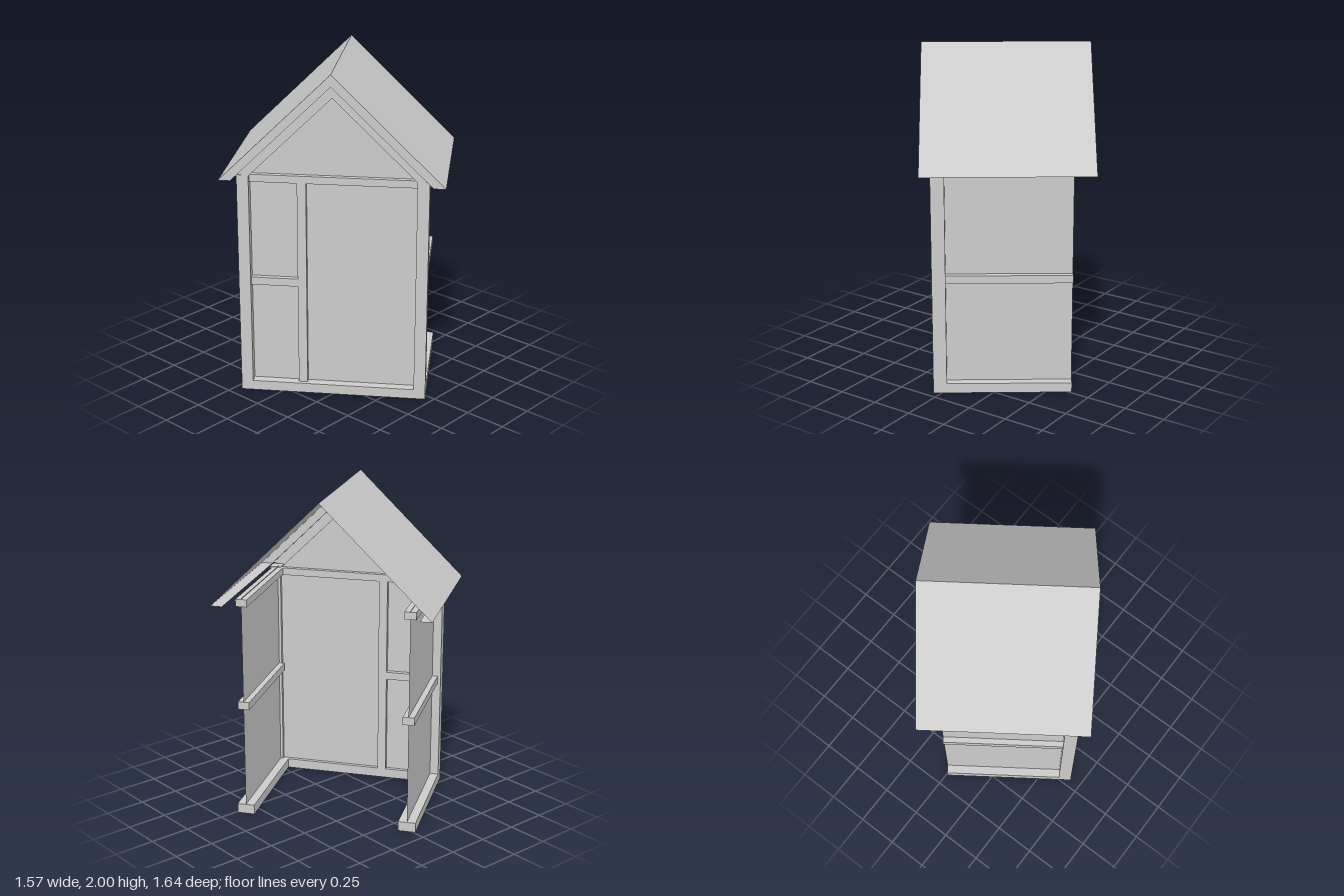
import * as THREE from 'three';

const mat = new THREE.MeshStandardMaterial({ color: 0xcccccc, flatShading: true, side: THREE.DoubleSide });

// Open sheet: a polyline in x/y swept from z0 to z1
function ribbon(points, z0, z1) {
  const pos = [];
  for (let i = 0; i < points.length - 1; i++) {
    const [ax, ay] = points[i], [bx, by] = points[i + 1];
    pos.push(ax, ay, z0, ax, ay, z1, bx, by, z1, ax, ay, z0, bx, by, z1, bx, by, z0);
  }
  const g = new THREE.BufferGeometry();
  g.setAttribute('position', new THREE.Float32BufferAttribute(pos, 3));
  g.computeVertexNormals();
  return g;
}

// Flat outline facing +z
function sheet(points, z) {
  const shape = new THREE.Shape(points.map(([x, y]) => new THREE.Vector2(x, y)));
  return new THREE.ShapeGeometry(shape).translate(0, 0, z);
}

// Box given by its limits on each axis
function block(x0, x1, y0, y1, z0, z1) {
  return new THREE.BoxGeometry(x1 - x0, y1 - y0, z1 - z0)
    .translate((x0 + x1) / 2, (y0 + y1) / 2, (z0 + z1) / 2);
}

export function createModel() {
  const hut = new THREE.Group();
  hut.name = 'gabledHut';
  const add = (name, geometry) => {
    const mesh = new THREE.Mesh(geometry, mat);
    mesh.name = name;
    hut.add(mesh);
  };

  // Roof: thin shell with turned-in eaves and a thick front edge
  const eave = 0.653, inner = 0.582, eaveY = 1.36;
  add('roof', ribbon([[-inner, eaveY], [-eave, eaveY], [0, 2], [eave, eaveY], [inner, eaveY]], -0.5, 0.5));
  add('roofFrontEdge', sheet([[-eave, eaveY], [-inner, eaveY], [0, 1.93], [inner, eaveY], [eave, eaveY], [0, 2]], 0.5));
  add('roofOverhang', ribbon([[-inner, eaveY], [0, 1.93], [inner, eaveY]], 0.3, 0.5));

  // Gable frame following the roof slope
  const gable = [[-0.488, 1.372], [0, 1.85], [0.488, 1.372]];
  add('gableFrame', sheet([[-0.558, 1.383], ...gable, [0.558, 1.383], [0, 1.93]], 0.44));
  add('gableReveal', ribbon(gable, 0.36, 0.44));

  // Front wall, sill and glazing-style bars
  add('frontWall', sheet([[-0.488, 0.03], [0.488, 0.03], [0.488, 1.372], [0, 1.85], [-0.488, 1.372]], 0.384));
  add('frontSill', block(-0.488, 0.488, 0, 0.06, 0.36, 0.44));
  add('frontTopBeam', block(-0.488, 0.488, 1.33, 1.375, 0.353, 0.415));
  add('frontMullion', block(-0.21, -0.157, 0.06, 1.33, 0.353, 0.415));
  add('frontMidRail', block(-0.488, -0.21, 0.685, 0.733, 0.353, 0.415));

  // Both sides: corner post, thin wall and three rails; the back stays open
  const back = -0.38;
  for (const [side, s] of [['left', 1], ['right', -1]]) {
    const span = (a, b, ...rest) => block(Math.min(s * a, s * b), Math.max(s * a, s * b), ...rest);
    add(side + 'CornerPost', span(0.488, 0.558, 0, 1.378, 0.36, 0.44));
    add(side + 'Wall', ribbon([[s * 0.505, 0], [s * 0.505, 1.38]], back, 0.384));
    add(side + 'BaseRail', span(0.452, 0.558, 0, 0.06, back, 0.36));
    add(side + 'MidRail', span(0.47, 0.54, 0.685, 0.733, back, 0.36));
    add(side + 'TopRail', span(0.47, 0.54, 1.33, 1.375, back, 0.36));
  }

  // The hut stands turned on its plot
  hut.rotation.y = THREE.MathUtils.degToRad(-55);
  const model = new THREE.Group();
  model.name = 'hut';
  model.add(hut);
  return model;
}
